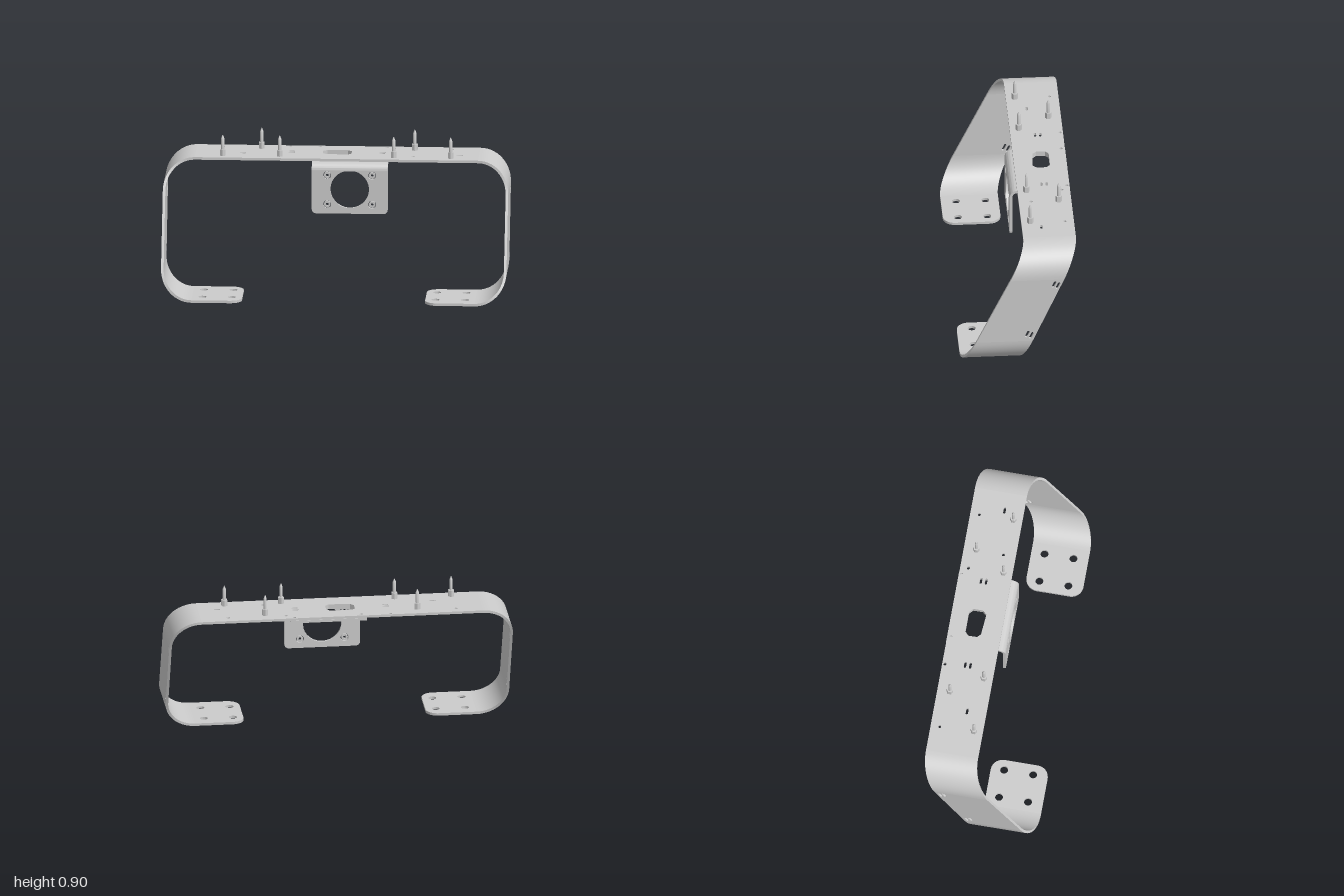
import * as THREE from 'three';
import { toCreasedNormals } from 'three/addons/utils/BufferGeometryUtils.js';

const H = 0.775, T = 0.015, R = 0.18;           // band height, sheet thickness, bend radius
const frontZ = (y) => 0.337 - 0.477 * y;         // the band leans backwards as it rises
const backZ = (y) => 0.003 - 0.44 * y;
const metal = new THREE.MeshStandardMaterial({ color: 0xcccccc });

function add(parent, name, geometry) {
  const mesh = new THREE.Mesh(toCreasedNormals(geometry, 0.5), metal);
  mesh.name = name;
  parent.add(mesh);
  return mesh;
}

const polygon = (pts) => new THREE.Shape(pts.map(([x, y]) => new THREE.Vector2(x, y)));

const hole = (x, y, r) => new THREE.Path().absarc(x, y, r, 0, Math.PI * 2, true);

// Rounded slot of the given length and width, tilted by angle
function slot(x, y, length, width, angle) {
  const r = width / 2, d = length / 2 - r;
  const dx = Math.cos(angle) * d, dy = Math.sin(angle) * d, q = Math.PI / 2;
  const p = new THREE.Path();
  p.absarc(x + dx, y + dy, r, angle - q, angle + q, false);
  p.absarc(x - dx, y - dy, r, angle + q, angle + 3 * q, false);
  p.closePath();
  return p;
}

// Rectangle whose corners at the y0 side are rounded by r
function tongue(x0, x1, y0, y1, r) {
  const s = new THREE.Shape();
  s.moveTo(x0, y1);
  s.lineTo(x0, y0 + r);
  s.absarc(x0 + r, y0 + r, r, Math.PI, Math.PI * 1.5, false);
  s.absarc(x1 - r, y0 + r, r, Math.PI * 1.5, Math.PI * 2, false);
  s.lineTo(x1, y1);
  return s;
}

function sheet(shape, holes, depth = T) {
  shape.holes.push(...holes);
  return new THREE.ExtrudeGeometry(shape, { depth, bevelEnabled: false, curveSegments: 14 });
}

// Quarter bend of the leaning band, swept as a four-cornered section
function bend(cx, cy, start) {
  const steps = 14, pos = [], index = [];
  for (let i = 0; i <= steps; i++) {
    const a = start + (i / steps) * Math.PI / 2, c = Math.cos(a), s = Math.sin(a);
    const y = cy + R * s, f = frontZ(y), b = backZ(y);
    for (const [r, z] of [[R, f], [R, b], [R - T, b], [R - T, f]]) pos.push(cx + r * c, cy + r * s, z);
    if (i === steps) continue;
    for (let k = 0; k < 4; k++) {
      const p = i * 4 + k, q = i * 4 + (k + 1) % 4;
      index.push(p, q, q + 4, p, q + 4, p + 4);
    }
  }
  const g = new THREE.BufferGeometry();
  g.setAttribute('position', new THREE.Float32BufferAttribute(pos, 3));
  g.setIndex(index);
  return g;
}

// Central cable opening with clipped corners, in (x, -z)
const opening = () => new THREE.Path(
  [[-0.085, 0.22], [-0.062, 0.24], [0.058, 0.24], [0.082, 0.218], [0.082, 0.163], [0.06, 0.138], [-0.065, 0.148], [-0.085, 0.168]]
    .map(([x, y]) => new THREE.Vector2(x, y)));

function makeBand() {
  const band = new THREE.Group();
  band.name = 'band';
  const e = 1 - R;

  // Top plate
  const topHoles = [opening()];
  for (const [x, z] of [[-0.265, 0.205], [-0.265, 0.175], [0.26, 0.205], [0.26, 0.175], [-0.545, 0.145], [0.71, 0.145]])
    topHoles.push(slot(x, z, 0.037, 0.014, 0));
  for (const [x, z] of [[-0.665, 0.285], [0.66, 0.285], [-0.28, 0.322], [0.28, 0.322], [-0.11, 0.315], [0.325, 0.29], [0.44, 0.105]])
    topHoles.push(hole(x, z, 0.009));
  const f = -frontZ(H), b = -backZ(H);
  const top = sheet(polygon([[-e, f], [e, f], [e, b], [-e, b]]), topHoles);
  add(band, 'topPlate', top.rotateX(-Math.PI / 2).translate(0, H - T, 0));

  // Leaning side plates with paired slots
  const lean = Math.atan2(1, 0.46), y0 = R, y1 = H - R;
  for (const side of [1, -1]) {
    const slots = [[0.2, 0.562], [0.222, 0.553], [0.045, 0.227], [0.068, 0.217]]
      .map(([x, y]) => slot(x, y, 0.046, 0.015, lean));
    const outline = polygon([[-frontZ(y0), y0], [-backZ(y0), y0], [-backZ(y1), y1], [-frontZ(y1), y1]]);
    const plate = sheet(outline, slots).rotateY(Math.PI / 2);
    add(band, 'sidePlate', plate.translate(side > 0 ? 1 - T : -1, 0, 0));
  }

  // Four bends
  add(band, 'upperBend', bend(e, H - R, 0));
  add(band, 'upperBend', bend(-e, H - R, Math.PI / 2));
  add(band, 'lowerBend', bend(-e, R, Math.PI));
  add(band, 'lowerBend', bend(e, R, Math.PI * 1.5));

  // Feet with rounded inner corners and four bolt holes, drawn as (-z, x)
  for (const side of [1, -1]) {
    const holes = [];
    for (const z of [0.08, 0.25]) for (const x of [0.59, 0.76]) holes.push(hole(side * z, x, 0.023));
    const outline = side > 0 ? tongue(0.003, 0.337, 0.53, e, 0.07) : tongue(-0.337, -0.003, 0.53, e, 0.07);
    const foot = sheet(outline, holes).rotateX(-Math.PI / 2).rotateY(side * -Math.PI / 2);
    add(band, 'foot', foot);
  }
  return band;
}

// Bracket: hanging plate, bend and flange below the top plate
function makeBracket() {
  const bracket = new THREE.Group();
  bracket.name = 'bracket';
  const x0 = -0.14, x1 = 0.3, top = H - T, r = 0.045, zFront = 0.01, zc = zFront - r, yc = top - r;
  const screws = [];
  for (const x of [-0.05, 0.21]) for (const y of [0.515, 0.688]) screws.push([x, y]);

  const face = sheet(tongue(x0, x1, 0.46, yc, 0.025), [hole(0.08, 0.605, 0.112), ...screws.map(([x, y]) => hole(x, y, 0.023))]);
  add(bracket, 'facePlate', face.translate(0, 0, zFront - T));

  const arc = new THREE.Shape();
  arc.absarc(-zc, yc, r, Math.PI / 2, Math.PI, false);
  arc.absarc(-zc, yc, r - T, Math.PI, Math.PI / 2, true);
  add(bracket, 'bracketBend', sheet(arc, [], x1 - x0).rotateY(Math.PI / 2).translate(x0, 0, 0));

  const flange = sheet(polygon([[x0, -zc], [x1, -zc], [x1, 0.34], [x0, 0.34]]),
    [opening(), slot(0.26, 0.205, 0.037, 0.014, 0), slot(0.26, 0.175, 0.037, 0.014, 0)]);
  add(bracket, 'flange', flange.rotateX(-Math.PI / 2).translate(0, top - T, 0));

  // Recessed screws with a hexagonal socket
  for (const [x, y] of screws) {
    const head = new THREE.Shape().absarc(0, 0, 0.019, 0, Math.PI * 2, false);
    const socket = new THREE.Path();
    for (let i = 0; i < 6; i++) {
      const a = -i * Math.PI / 3;
      socket[i ? 'lineTo' : 'moveTo'](0.009 * Math.cos(a), 0.009 * Math.sin(a));
    }
    socket.closePath();
    add(bracket, 'screw', sheet(head, [socket], 0.01)).position.set(x, y, zFront - T + 0.002);
  }
  return bracket;
}

// Hexagonal standoff with a pointed threaded pin
function makePin(x, z) {
  const pin = new THREE.Group();
  pin.name = 'standoffPin';
  add(pin, 'hexBase', new THREE.CylinderGeometry(0.019, 0.019, 0.037, 6).translate(0, 0.0185, 0));
  const profile = [[0, 0.03], [0.0095, 0.03], [0.0095, 0.102], [0.0015, 0.122], [0, 0.122]];
  add(pin, 'shaft', new THREE.LatheGeometry(profile.map(([r, y]) => new THREE.Vector2(r, y)), 12));
  pin.position.set(x, H, z);
  return pin;
}

export function createModel() {
  const model = new THREE.Group();
  model.name = 'mountingFrame';
  model.add(makeBand(), makeBracket());
  for (const side of [1, -1])
    for (const [x, z] of [[0.33, -0.085], [0.66, -0.085], [0.443, -0.264]]) model.add(makePin(side * x, z));
  return model;
}
